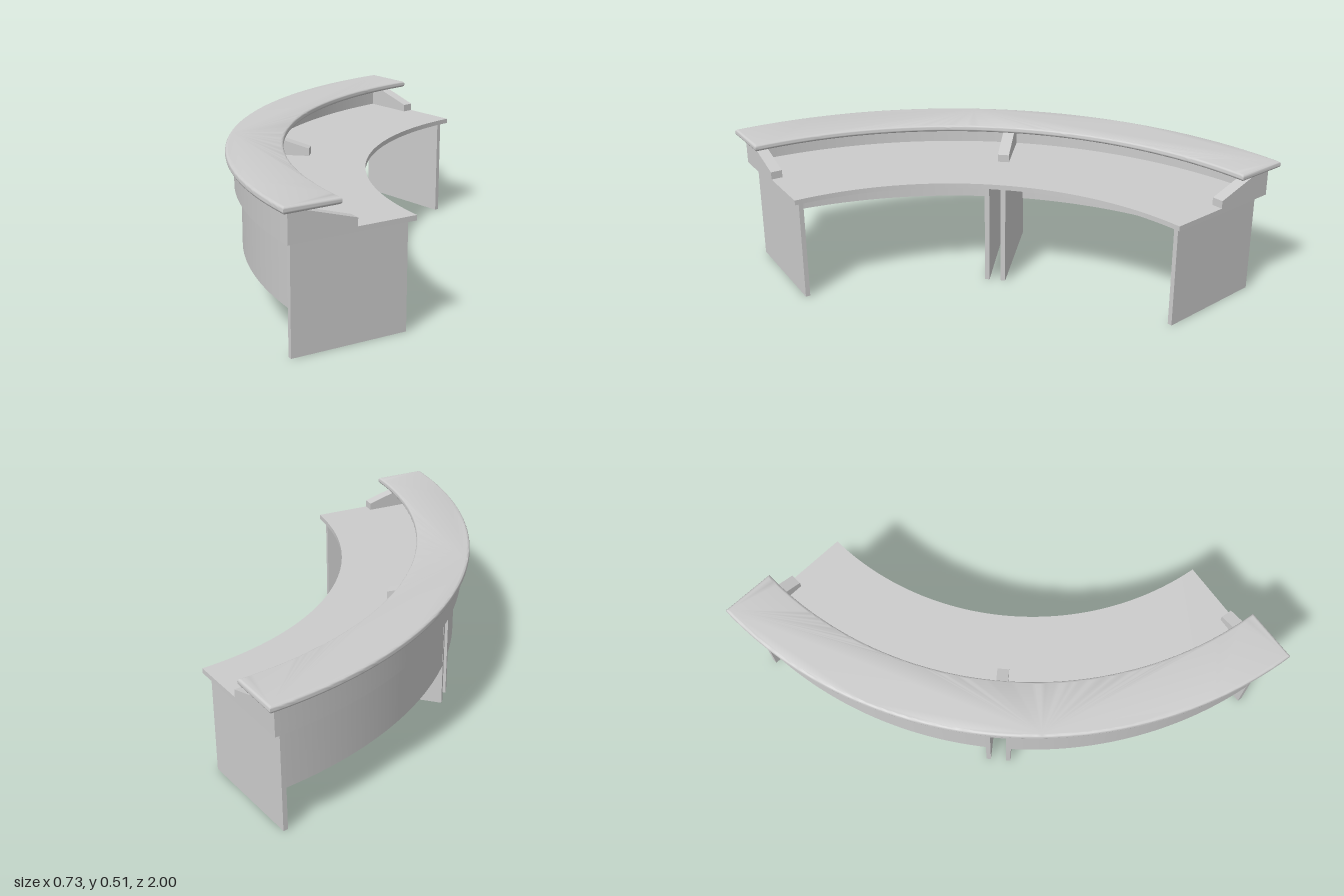
import * as THREE from 'three';
import { toCreasedNormals } from 'three/addons/utils/BufferGeometryUtils.js';

const CX = 1.14; // x of the centre shared by all arcs
const rad = THREE.MathUtils.degToRad;
const material = new THREE.MeshStandardMaterial({ color: 0xcccccc });

function addMesh(parent, name, geometry) {
  const mesh = new THREE.Mesh(toCreasedNormals(geometry, rad(35)), material);
  mesh.name = name;
  parent.add(mesh);
  return mesh;
}

// Curved slab between two radii, two angles (degrees) and two heights
function arcSlab(parent, name, r0, r1, a0, a1, y0, y1, round = 0) {
  const shape = new THREE.Shape();
  shape.absarc(CX, 0, r1, Math.PI + rad(a0), Math.PI + rad(a1), false);
  shape.absarc(CX, 0, r0, Math.PI + rad(a1), Math.PI + rad(a0), true);
  const geometry = new THREE.ExtrudeGeometry(shape, {
    depth: y1 - y0 - 2 * round,
    curveSegments: 56,
    bevelEnabled: round > 0,
    bevelThickness: round,
    bevelSize: round,
    bevelOffset: -round,
    bevelSegments: 4,
  });
  geometry.rotateX(-Math.PI / 2);
  geometry.translate(0, y0 + round, 0);
  return addMesh(parent, name, geometry);
}

// Upright board with a side profile of [radius, height] points, set radially;
// it fills the thickness from t0 to t1 beside its angle
function radialBoard(parent, name, profile, angle, t0, t1) {
  const shape = new THREE.Shape(profile.map(([r, y]) => new THREE.Vector2(-r, y)));
  const geometry = new THREE.ExtrudeGeometry(shape, { depth: t1 - t0, bevelEnabled: false });
  geometry.translate(0, 0, t0);
  const mesh = addMesh(parent, name, geometry);
  mesh.position.x = CX;
  mesh.rotation.y = rad(angle);
  return mesh;
}

export function createModel() {
  const group = new THREE.Group();
  group.name = 'curvedReceptionDesk';
  const END = 40.4;    // half angle of the desk
  const INSET = 1.15;  // legs stand in from the ends of each half
  const LEG = 0.017, BRACKET = 0.042;

  // Worktop, raised fascia and rounded counter
  arcSlab(group, 'worktop', 1.021, 1.48, -END, END, 0.377, 0.395);
  arcSlab(group, 'fascia', 1.437, 1.48, -END, END, 0.395, 0.482);
  arcSlab(group, 'counter', 1.308, 1.509, -41.5, 41.5, 0.482, 0.506, 0.01);

  // Sloped brackets under the counter: both ends and the middle
  const bracket = [[1.437, 0.395], [1.237, 0.395], [1.237, 0.423], [1.437, 0.482]];
  radialBoard(group, 'middleBracket', bracket, 0, -BRACKET / 2, BRACKET / 2);
  radialBoard(group, 'leftEndBracket', bracket, END, -BRACKET, 0);
  radialBoard(group, 'rightEndBracket', bracket, -END, 0, BRACKET);

  // Each half has an end leg, a middle leg and a curved modesty panel
  const leg = [[1.04, 0], [1.457, 0], [1.457, 0.377], [1.04, 0.377]];
  const outer = END - INSET;
  for (const [side, s] of [['left', 1], ['right', -1]]) {
    const near = s > 0 ? [0, LEG] : [-LEG, 0];
    const far = s > 0 ? [-LEG, 0] : [0, LEG];
    radialBoard(group, side + 'MiddleLeg', leg, s * INSET, ...near);
    radialBoard(group, side + 'EndLeg', leg, s * outer, ...far);
    const a = INSET + 0.6, b = outer - 0.6;
    // shape angles run opposite to z, so the signs swap here
    const [a0, a1] = s > 0 ? [a, b] : [-b, -a];
    arcSlab(group, side + 'ModestyPanel', 1.438, 1.456, a0, a1, 0.16, 0.377);
  }
  return group;
}
